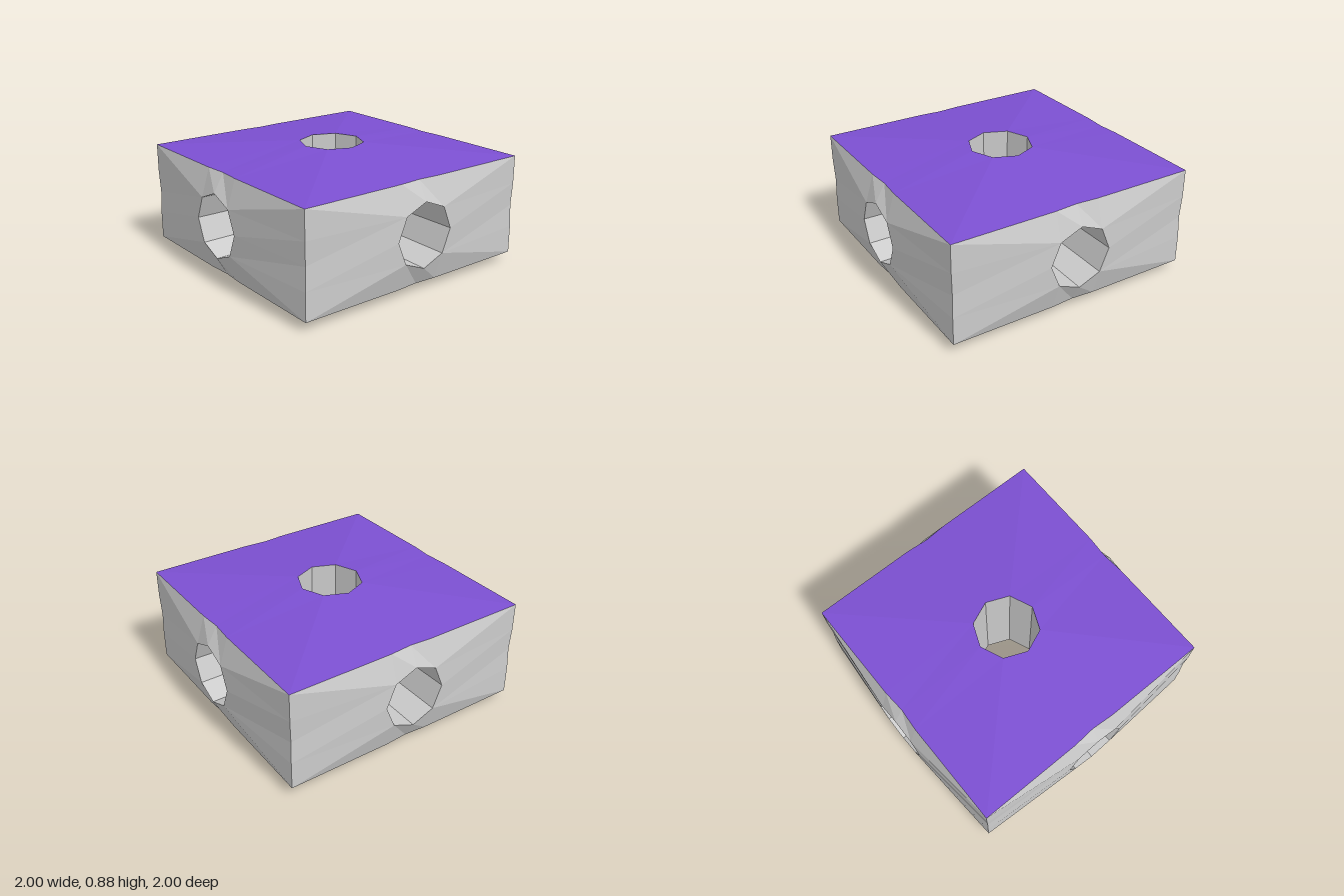
import * as THREE from 'three';

const HALF = 0.4375;                     // half of the block's height
const R = 0.235, Q = R * Math.SQRT1_2;   // octagonal opening: radius and diagonal corner
const CORNER = 0.937, CORNER_Y = 0.37;   // block corners, measured from the centre

const grey = new THREE.MeshStandardMaterial({ color: 0xcccccc, flatShading: true });
const purple = new THREE.MeshStandardMaterial({ color: 0x7c50d2, flatShading: true });

// Flat-shaded geometry from convex polygons, each a list of [x, y, z] corners
function polygons(list) {
  const pos = [];
  for (const p of list) {
    for (let i = 1; i < p.length - 1; i++) pos.push(...p[0], ...p[i], ...p[i + 1]);
  }
  const g = new THREE.BufferGeometry();
  g.setAttribute('position', new THREE.Float32BufferAttribute(pos, 3));
  g.computeVertexNormals();
  return g;
}

// Bulged panel facing +z: rectangular rim, raised octagonal opening in the middle.
// mids gives [distance out, height] of the pinched rim midpoints for x and y sides.
function panel(halfX, halfY, rimZ, topZ, mids) {
  const faces = [];
  for (let k = 0; k < 4; k++) {
    const c = Math.round(Math.cos(k * Math.PI / 2)), s = Math.round(Math.sin(k * Math.PI / 2));
    const at = (out, along, z) => [out * c - along * s, out * s + along * c, z];
    const [out, far] = k % 2 ? [halfY, halfX] : [halfX, halfY];
    const inner = [at(Q, -Q, topZ), at(R, 0, topZ), at(Q, Q, topZ)];
    const rim = [-far, -Q, 0, Q, far].map((t) =>
      t === 0 ? at(mids[k % 2][0], 0, mids[k % 2][1]) : at(out, t, rimZ));
    faces.push(
      [inner[0], rim[0], rim[1]],
      [inner[0], rim[1], rim[2], inner[1]],
      [inner[1], rim[2], rim[3], inner[2]],
      [inner[2], rim[3], rim[4]]);
  }
  return polygons(faces);
}

// Eight-sided bore along z, seen from inside, with an optional flat end
function bore(z0, z1, r1, closed) {
  const ring = (r, z) => Array.from({ length: 8 }, (_, i) =>
    [r * Math.cos(i * Math.PI / 4), r * Math.sin(i * Math.PI / 4), z]);
  const a = ring(R, z0), b = ring(r1, z1);
  const faces = a.map((p, i) => [p, a[(i + 1) % 8], b[(i + 1) % 8], b[i]]);
  if (closed) faces.push(b);
  return polygons(faces);
}

export function createModel() {
  const model = new THREE.Group();
  model.name = 'boredBlock';
  const add = (name, geometry, material, rx, ry) => {
    const mesh = new THREE.Mesh(geometry, material);
    mesh.name = name;
    mesh.rotation.set(rx, ry, 0);
    mesh.position.y = HALF;
    model.add(mesh);
  };

  // Four grey sides, each with a slightly tapered blind hole
  const side = panel(CORNER, CORNER_Y, CORNER, 1, [[0.931, 0.931], [CORNER_Y, 0.925]]);
  const sideHole = bore(1, 0.25, 0.222, true);
  ['front', 'left', 'back', 'right'].forEach((name, i) => {
    add(name + 'Panel', side, grey, 0, i * Math.PI / 2);
    add(name + 'Hole', sideHole, grey, 0, i * Math.PI / 2);
  });

  // Purple top and bottom
  const lid = panel(CORNER, CORNER, CORNER_Y, HALF, [[0.925, CORNER_Y], [0.925, CORNER_Y]]);
  add('topPanel', lid, purple, -Math.PI / 2, 0);
  add('bottomPanel', lid, purple, Math.PI / 2, 0);

  // Vertical hole right through the block
  add('throughHole', bore(HALF, -HALF, R, false), grey, -Math.PI / 2, 0);
  return model;
}
